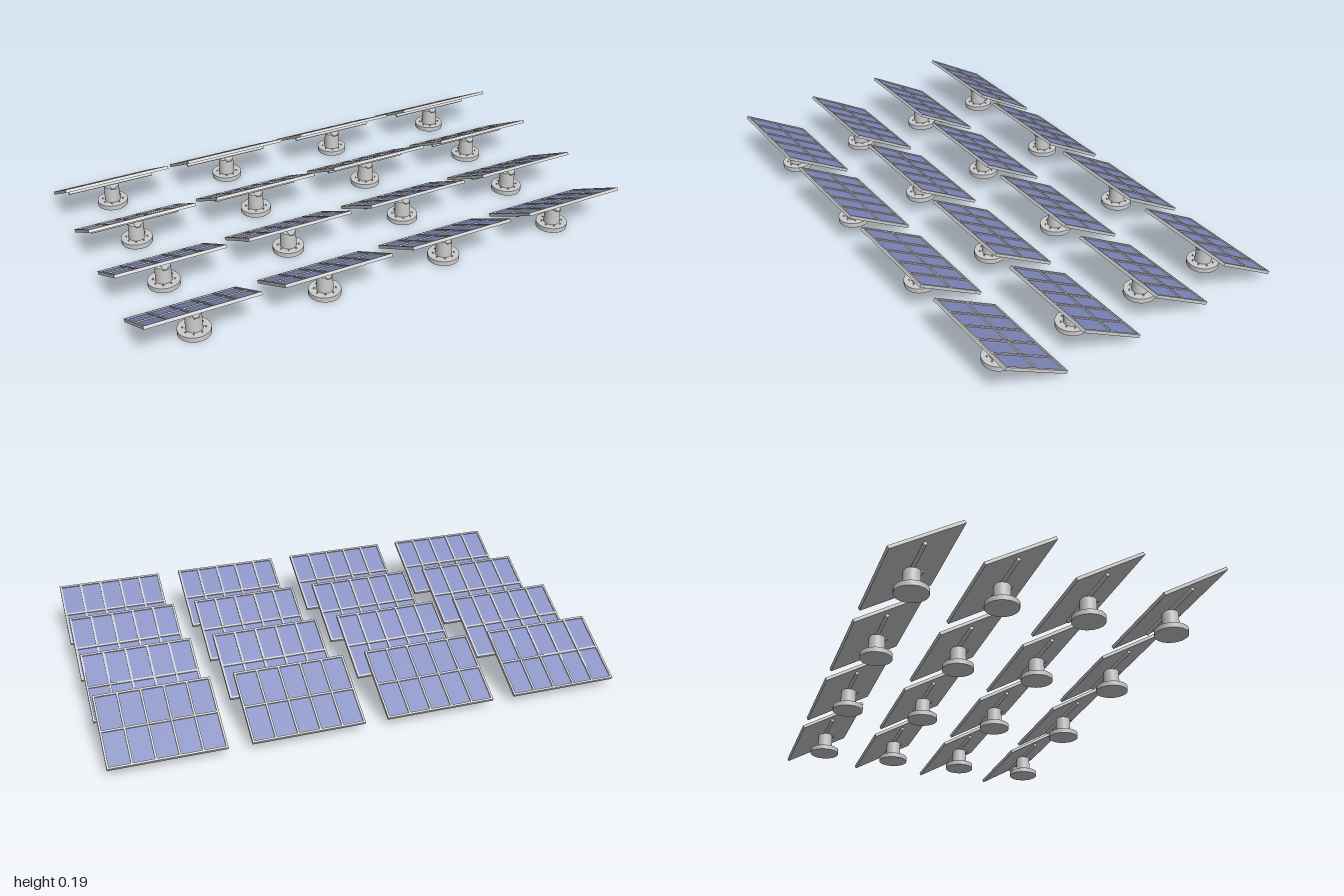
import * as THREE from 'three';

const W = 0.433, L = 0.3, T = 0.0125;   // panel width, length, thickness
const COLS = 5, ROWS = 2, BAR = 0.008;  // cell grid and frame bar width
const grey = new THREE.MeshStandardMaterial({ color: 0xcccccc });
const blue = new THREE.MeshStandardMaterial({ color: 0x818bbd });
const tan = new THREE.MeshStandardMaterial({ color: 0xb8ae92 });

function add(parent, name, geometry, material, x = 0, y = 0, z = 0) {
  const mesh = new THREE.Mesh(geometry, material);
  mesh.name = name;
  mesh.position.set(x, y, z);
  parent.add(mesh);
  return mesh;
}

function rect(path, x0, y0, x1, y1) {
  path.moveTo(x0, y0);
  path.lineTo(x1, y0);
  path.lineTo(x1, y1);
  path.lineTo(x0, y1);
  path.closePath();
  return path;
}

const cellW = (W - BAR * (COLS + 1)) / COLS;
const cellL = (L - BAR * (ROWS + 1)) / ROWS;
const cellX = i => -W / 2 + BAR + cellW / 2 + i * (cellW + BAR);
const cellZ = j => -L / 2 + BAR + cellL / 2 + j * (cellL + BAR);

// Raised lattice with a window for every cell
function frameGeometry(depth) {
  const shape = rect(new THREE.Shape(), -W / 2, -L / 2, W / 2, L / 2);
  for (let i = 0; i < COLS; i++) for (let j = 0; j < ROWS; j++) {
    const x = cellX(i), y = cellZ(j);
    shape.holes.push(rect(new THREE.Path(), x - cellW / 2, y - cellL / 2, x + cellW / 2, y + cellL / 2));
  }
  return new THREE.ExtrudeGeometry(shape, { depth, bevelEnabled: false }).rotateX(-Math.PI / 2);
}

const geo = {
  back: new THREE.BoxGeometry(W, 0.006, L),
  frame: frameGeometry(T - 0.006),
  cell: new THREE.BoxGeometry(cellW, 0.002, cellL),
  clip: new THREE.BoxGeometry(BAR, 0.001, BAR),
  foot: new THREE.CylinderGeometry(0.063, 0.063, 0.02, 32),
  column: new THREE.CylinderGeometry(0.031, 0.033, 0.07, 32),
  bolt: new THREE.CylinderGeometry(0.003, 0.003, 0.006, 6),
  tube: new THREE.CylinderGeometry(0.007, 0.007, 0.36, 12).rotateZ(Math.PI / 2),
  bracket: new THREE.BoxGeometry(0.02, 0.005, 0.045),
};

// Tilted panel: its glazed side looks up and to the back
function createPanel() {
  const panel = new THREE.Group();
  panel.name = 'panel';
  add(panel, 'backSheet', geo.back, grey, 0, -T / 2 + 0.003);
  add(panel, 'frame', geo.frame, grey, 0, -T / 2 + 0.006);
  for (let i = 0; i < COLS; i++) {
    for (let j = 0; j < ROWS; j++) add(panel, 'cell', geo.cell, blue, cellX(i), 0.0007, cellZ(j));
    if (i > 0) add(panel, 'clip', geo.clip, tan, cellX(i) - (cellW + BAR) / 2, T / 2 + 0.0004, 0);
  }
  panel.rotation.x = -Math.PI / 6;
  panel.position.y = 0.107;
  return panel;
}

// Round foot, column and the cross tube that carries the panel
function createStand() {
  const stand = new THREE.Group();
  stand.name = 'stand';
  add(stand, 'foot', geo.foot, grey, 0, 0.01);
  add(stand, 'column', geo.column, grey, 0, 0.054);
  for (let i = 0; i < 8; i++) {
    const a = (i + 0.5) * Math.PI / 4;
    add(stand, 'bolt', geo.bolt, grey, 0.042 * Math.cos(a), 0.022, 0.042 * Math.sin(a));
  }
  add(stand, 'crossTube', geo.tube, grey, 0, 0.094, -0.002);
  add(stand, 'bracket', geo.bracket, grey, 0, 0.0885, 0.018);
  stand.position.z = 0.005;
  return stand;
}

export function createModel() {
  const model = new THREE.Group();
  model.name = 'solarField';
  for (let r = 0; r < 4; r++) for (let c = 0; c < 4; c++) {
    const unit = new THREE.Group();
    unit.name = 'solarUnit';
    unit.add(createPanel(), createStand());
    unit.position.set((c - 1.5) * 0.5223, 0, (r - 1.5) * 0.326);
    model.add(unit);
  }
  return model;
}
